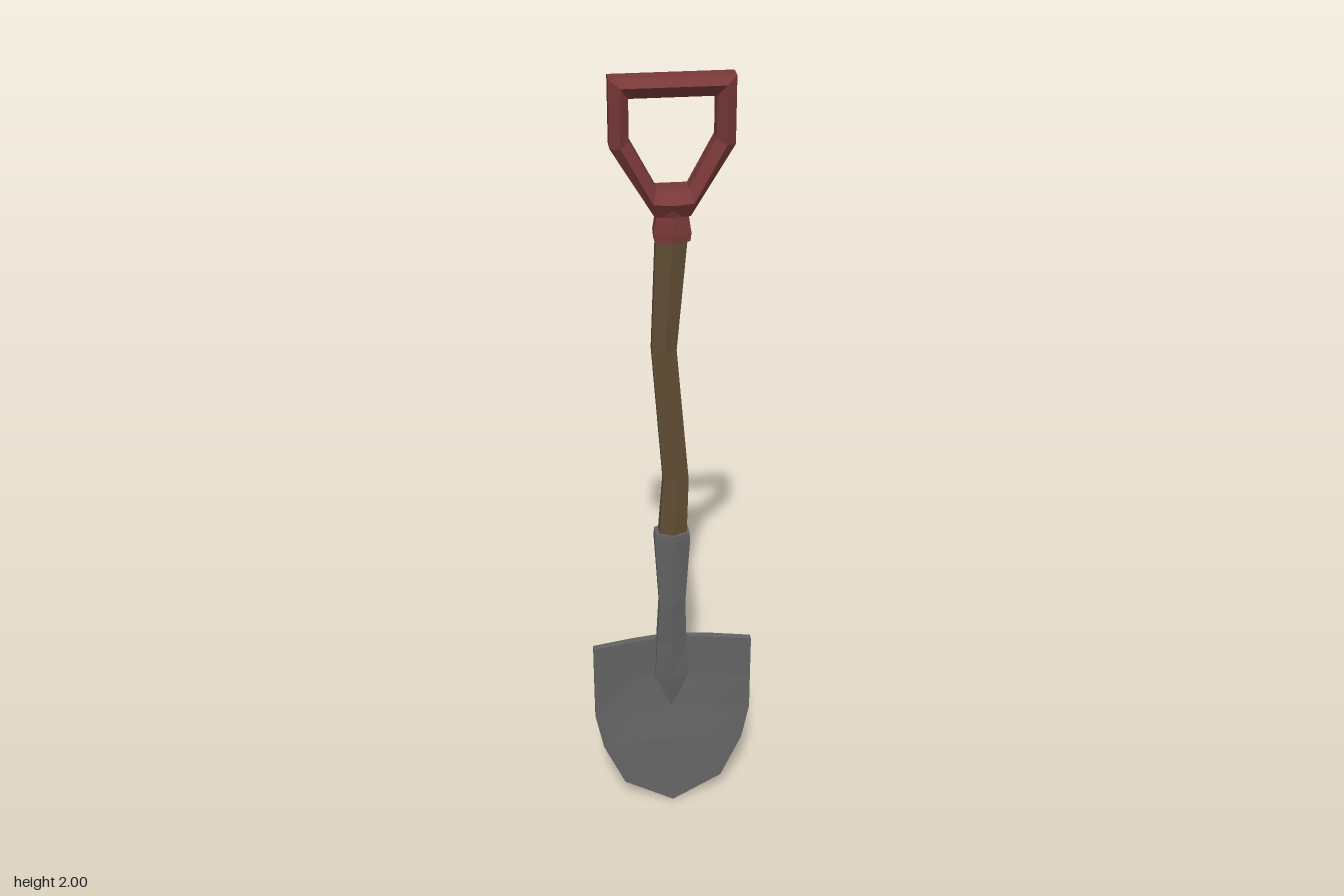
import * as THREE from 'three';

const material = (color) =>
  new THREE.MeshStandardMaterial({ color, flatShading: true, roughness: 1 });

// Joins matching cross-sections (counter-clockwise seen from the end) into a skin.
function loft(name, mat, sections, closed = false) {
  const n = sections[0].length;
  const index = [];
  const quad = (a, b, c, d) => index.push(a, b, c, a, c, d);
  const rows = closed ? sections.length : sections.length - 1;
  for (let i = 0; i < rows; i++) {
    const lo = i * n;
    const hi = ((i + 1) % sections.length) * n;
    for (let j = 0; j < n; j++) {
      const k = (j + 1) % n;
      quad(lo + j, lo + k, hi + k, hi + j);
    }
  }
  if (!closed) {
    const top = (sections.length - 1) * n;
    for (let j = 0; j < n / 2 - 1; j++) {
      quad(top + j, top + j + 1, top + n - 2 - j, top + n - 1 - j);
      quad(n - 1 - j, n - 2 - j, j + 1, j);
    }
  }
  const geometry = new THREE.BufferGeometry();
  geometry.setAttribute('position', new THREE.Float32BufferAttribute(sections.flat(2), 3));
  geometry.setIndex(index);
  const flat = geometry.toNonIndexed();
  flat.computeVertexNormals();
  const mesh = new THREE.Mesh(flat, mat);
  mesh.name = name;
  return mesh;
}

// Six-sided section with a ridge at front and back; rx and rz are half sizes.
function hexagon([y, cx, cz, rx, rz]) {
  return Array.from({ length: 6 }, (_, j) => {
    const a = -Math.PI / 2 + (j * Math.PI) / 3;
    return [cx + (Math.cos(a) * rx) / 0.866, y, cz - Math.sin(a) * rz];
  });
}

// Dished blade row: front points left to right, back points right to left.
function bladeRow([y, halfWidth, edgeZ, middleZ, thickness]) {
  const steps = [-1, -0.5, 0, 0.5, 1];
  const side = (offset) =>
    steps.map((t) => [t * halfWidth, y, middleZ + (edgeZ - middleZ) * Math.abs(t) ** 1.3 + offset]);
  return [...side(thickness / 2), ...side(-thickness / 2).reverse()];
}

// Grip section from its outer, middle and inner outline points.
function gripSection([outer, middle, inner, depth]) {
  const flat = 0.02;
  return [
    [...outer, flat], [...outer, -flat], [...middle, -depth],
    [...inner, -flat], [...inner, flat], [...middle, depth],
  ];
}

export function createModel() {
  const group = new THREE.Group();
  const metal = material(0x626262);
  const wood = material(0x5f4c34);
  const red = material(0x783838);

  // Blade, from the tip up to the tread
  group.add(loft('blade', metal, [
    [0.0, 0.001, 0.024, 0.024, 0.012],
    [0.075, 0.13, 0.024, 0.018, 0.012],
    [0.2, 0.185, 0.02, 0.006, 0.014],
    [0.3, 0.205, 0.015, -0.012, 0.016],
    [0.4, 0.205, 0.012, -0.025, 0.018],
    [0.52, 0.205, 0.011, -0.025, 0.018],
  ].map(bladeRow)));

  // Socket with its pointed rib on the blade
  group.add(loft('socket', metal, [
    [0.3, 0, -0.01, 0.002, 0.006],
    [0.4, 0, -0.012, 0.043, 0.02],
    [0.52, 0, -0.01, 0.038, 0.026],
    [0.65, 0, 0.002, 0.033, 0.026],
    [0.84, 0, 0, 0.044, 0.037],
    [0.86, 0, 0, 0.042, 0.036],
  ].map(hexagon)));

  // Bent wooden shaft
  group.add(loft('shaft', wood, [
    [0.83, 0, 0, 0.035, 0.029],
    [1.01, 0.009, 0, 0.031, 0.025],
    [1.36, -0.019, 0, 0.029, 0.025],
    [1.66, 0, 0, 0.036, 0.03],
  ].map(hexagon)));

  // Collar under the grip
  group.add(loft('gripCollar', red, [
    [1.63, 0, 0, 0.04, 0.034],
    [1.65, 0, 0, 0.042, 0.035],
    [1.69, 0, 0, 0.036, 0.031],
    [1.73, 0, 0, 0.04, 0.044],
  ].map(hexagon)));

  // D-shaped grip: right-hand half outline, mirrored
  const half = [
    [[0.04, 1.69], [0.045, 1.727], [0.036, 1.755], 0.043],
    [[0.137, 1.85], [0.115, 1.855], [0.095, 1.865], 0.043],
    [[0.137, 2.0], [0.113, 1.985], [0.095, 1.957], 0.043],
  ];
  const flip = ([x, y]) => [-x, y];
  const mirrored = half.map(([o, m, i, d]) => [flip(o), flip(m), flip(i), d]).reverse();
  const yoke = [[0, 1.685], [0, 1.725], [0, 1.755], 0.047];
  group.add(loft('grip', red, [...half, ...mirrored, yoke].map(gripSection), true));

  return group;
}
